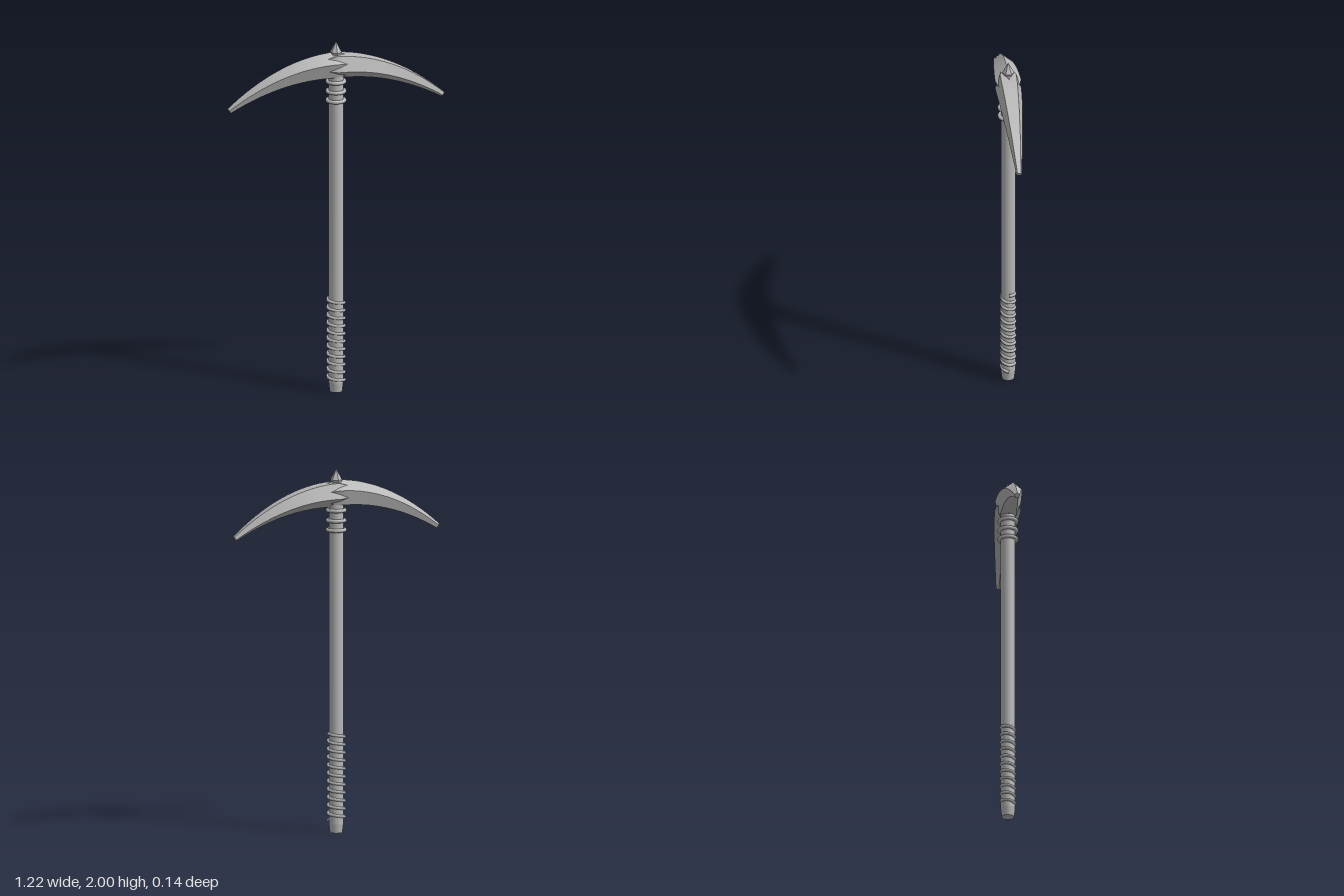
import * as THREE from 'three';
import { mergeGeometries } from 'three/addons/utils/BufferGeometryUtils.js';

// One curved five-sided blade; dir is the side it points to, turn rotates the pentagon
function bladeGeometry(dir, turn) {
  const SIDES = 5, LENGTH = 0.6, STEPS = 16;
  // [distance along the blade, section radius], starting with a blunt inner end
  const rings = [[-0.085, 0.012], [-0.055, 0.058]];
  for (let i = 0; i <= STEPS; i++) {
    const t = i / STEPS;
    rings.push([t * LENGTH, 0.016 + 0.059 * (1 - Math.pow(t, 1.4))]);
  }
  rings.push([LENGTH, 0.016], [LENGTH, 0]); // doubled ring keeps the tip edge sharp

  const point = (s, r, a) => {
    const slope = 1.19 * s, len = Math.hypot(slope, 1);
    const up = (r * Math.cos(a)) / len;
    return [dir * (s + up * slope), 1.865 - 0.595 * s * s + up, r * Math.sin(a)];
  };

  // Each side is its own strip: smooth along the length, sharp at the ridges
  const strips = [];
  for (let k = 0; k < SIDES; k++) {
    const a0 = turn + (k / SIDES) * Math.PI * 2;
    const a1 = turn + ((k + 1) / SIDES) * Math.PI * 2;
    const pos = [], index = [];
    rings.forEach(([s, r], i) => {
      pos.push(...point(s, r, a0), ...point(s, r, a1));
      if (i === 0) return;
      const a = 2 * i - 2, b = a + 1, c = a + 3, d = a + 2;
      index.push(...(dir > 0 ? [a, b, c, a, c, d] : [a, c, b, a, d, c]));
    });
    const g = new THREE.BufferGeometry();
    g.setAttribute('position', new THREE.Float32BufferAttribute(pos, 3));
    g.setIndex(index);
    g.computeVertexNormals();
    strips.push(g);
  }
  return mergeGeometries(strips);
}

// Left-handed winding around the grip, slightly flattened front to back
class GripCoil extends THREE.Curve {
  getPoint(t, target = new THREE.Vector3()) {
    const a = t * 11 * Math.PI * 2;
    return target.set(0.046 * Math.cos(a), 0.062 + 0.485 * t, 0.037 * Math.sin(a));
  }
}

export function createModel() {
  const model = new THREE.Group();
  const grey = new THREE.MeshStandardMaterial({ color: 0xb8b8b8 });
  grey.name = 'grey';
  const flatGrey = (geometry) => {
    const g = geometry.toNonIndexed();
    g.computeVertexNormals();
    return g;
  };
  const add = (name, geometry, y = 0) => {
    const mesh = new THREE.Mesh(geometry, grey);
    mesh.name = name;
    mesh.position.y = y;
    model.add(mesh);
    return mesh;
  };

  // Shaft with a tapered foot
  add('shaft', new THREE.CylinderGeometry(0.04, 0.04, 1.8, 20, 1, true), 0.95);
  add('shaftFoot', new THREE.CylinderGeometry(0.04, 0.034, 0.05, 20), 0.025);

  // Grip winding
  add('gripCoil', new THREE.TubeGeometry(new GripCoil(), 264, 0.009, 6, false));

  // Collar rings under the head
  [1.665, 1.717, 1.773].forEach((y) => {
    add('collarRing', new THREE.TorusGeometry(0.047, 0.011, 8, 28).rotateX(Math.PI / 2), y);
  });

  // Head: ridge on top of the right blade, ridge beneath the left blade
  add('rightBlade', bladeGeometry(-1, 0));
  add('leftBlade', bladeGeometry(1, Math.PI));

  // Spike on top
  add('spike', flatGrey(new THREE.ConeGeometry(0.033, 0.06, 6)), 1.97);
  add('spikeBase', flatGrey(new THREE.CylinderGeometry(0.033, 0.02, 0.03, 6)), 1.925);

  return model;
}
